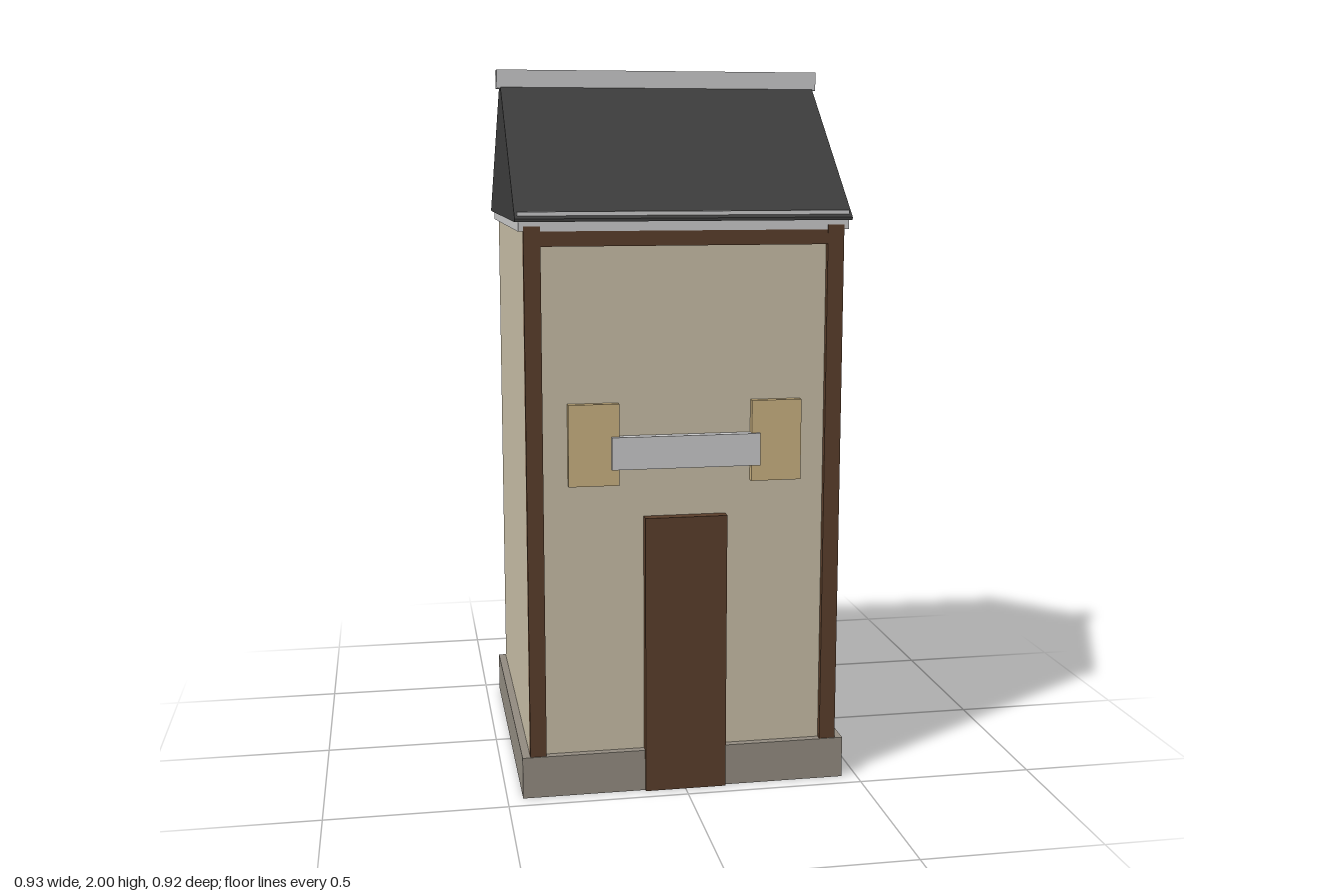
import * as THREE from 'three';

const mat = (name, color) => {
  const m = new THREE.MeshStandardMaterial({ color });
  m.name = name;
  return m;
};

export function createModel() {
  const house = new THREE.Group();
  house.name = 'house';
  const plaster = mat('plaster', 0xc6bca5);
  const stone = mat('stone', 0x928b80);
  const wood = mat('dark wood', 0x5a3e2b);
  const slate = mat('slate', 0x3c3c3c);
  const trim = mat('light trim', 0xc8c8c9);
  const amber = mat('amber pane', 0xc8b080);

  // Box given by its lower and upper limits on each axis
  const box = (name, material, [x0, x1], [y0, y1], [z0, z1]) => {
    const mesh = new THREE.Mesh(new THREE.BoxGeometry(x1 - x0, y1 - y0, z1 - z0), material);
    mesh.position.set((x0 + x1) / 2, (y0 + y1) / 2, (z0 + z1) / 2);
    mesh.name = name;
    house.add(mesh);
  };

  // Body
  box('plinth', stone, [-0.457, 0.457], [0, 0.117], [-0.462, 0.452]);
  box('walls', plaster, [-0.435, 0.435], [0.1, 1.57], [-0.44, 0.431]);
  box('eaveBoard', trim, [-0.448, 0.448], [1.562, 1.588], [-0.453, 0.447]);

  // Timber frame and door
  for (const s of [-1, 1]) {
    const xs = [s * 0.39, s * 0.435].sort((a, b) => a - b);
    box(s > 0 ? 'leftPost' : 'rightPost', wood, xs, [0.1, 1.575], [0.425, 0.449]);
  }
  box('lintel', wood, [-0.39, 0.39], [1.522, 1.575], [0.425, 0.446]);
  box('door', wood, [-0.114, 0.114], [0.001, 0.784], [0.425, 0.463]);

  // Windows and sign board
  box('rightWindow', amber, [-0.322, -0.183], [0.876, 1.1], [0.425, 0.452]);
  box('leftWindow', amber, [0.183, 0.322], [0.876, 1.1], [0.425, 0.452]);
  box('signBoard', trim, [-0.205, 0.205], [0.921, 1.01], [0.435, 0.463]);

  // Gabled roof: triangular section extruded along x
  const gable = new THREE.Shape([
    new THREE.Vector2(-0.457, 0),
    new THREE.Vector2(0.457, 0),
    new THREE.Vector2(0.457, 0.008),
    new THREE.Vector2(0.025, 0.365),
    new THREE.Vector2(-0.025, 0.365),
    new THREE.Vector2(-0.457, 0.008),
  ]);
  const roofGeometry = new THREE.ExtrudeGeometry(gable, { depth: 0.914, bevelEnabled: false });
  roofGeometry.translate(0, 0, -0.457).rotateY(Math.PI / 2);
  const roof = new THREE.Mesh(roofGeometry, slate);
  roof.position.set(0, 1.587, -0.005);
  roof.name = 'roof';
  house.add(roof);

  // Ridge cap and eave strips
  box('ridgeCap', trim, [-0.467, 0.467], [1.948, 2], [-0.032, 0.021]);
  box('frontEaveStrip', trim, [-0.45, 0.45], [1.597, 1.613], [0.424, 0.443]);
  box('backEaveStrip', trim, [-0.45, 0.45], [1.597, 1.613], [-0.456, -0.437]);

  return house;
}
